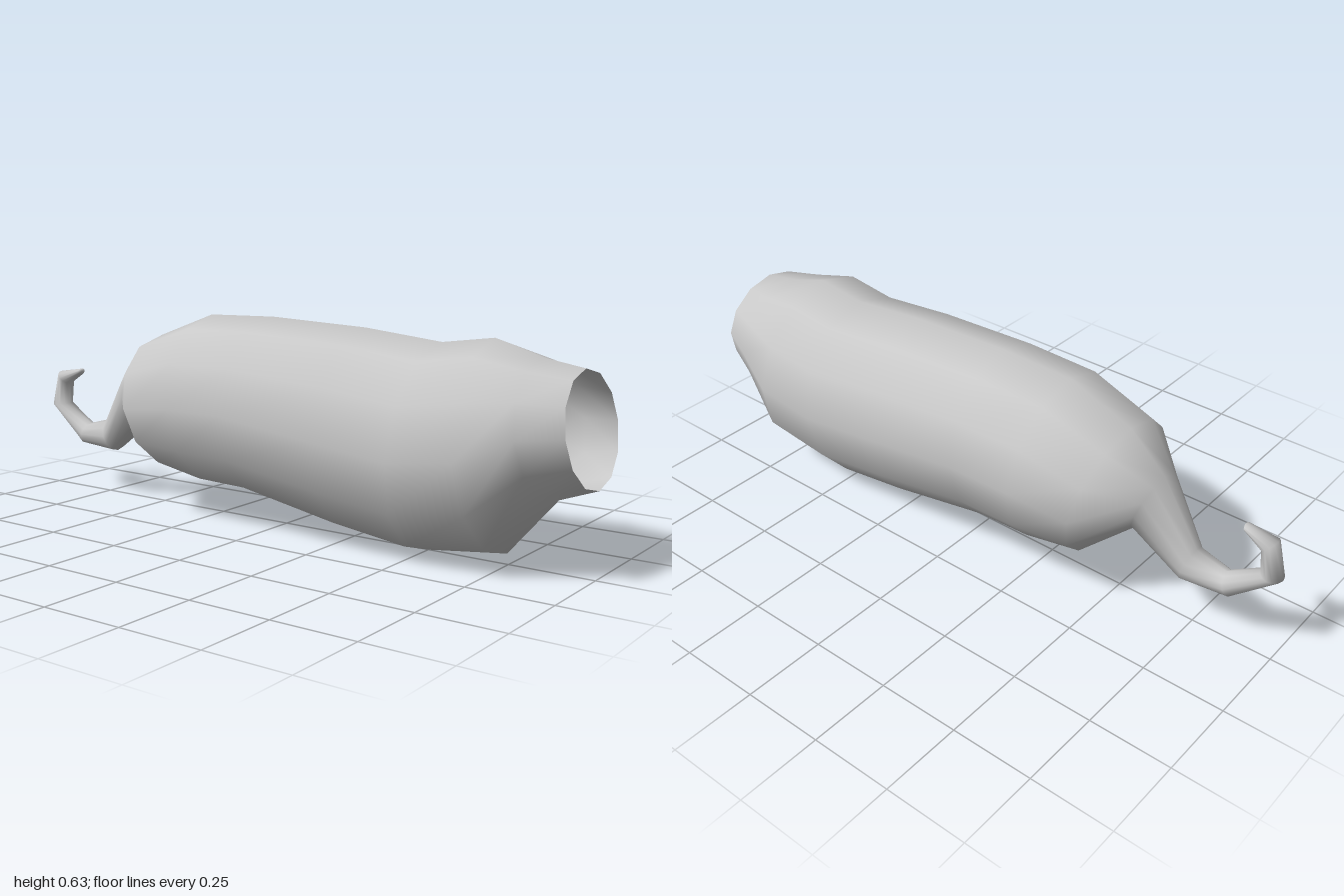
import * as THREE from 'three';

const SIDES = 12;

// Cross-sections from the open mouth to the tail tip:
// [top z, top y, bottom z, bottom y, half width]
const bodyRings = [
  [0.95, 0.555, 1.0, 0.24, 0.17],
  [0.83, 0.575, 0.89, 0.2, 0.22],
  [0.69, 0.617, 0.745, 0.03, 0.27],
  [0.53, 0.595, 0.5, 0.0, 0.27],
  [0.28, 0.62, 0.26, 0.03, 0.265],
  [-0.05, 0.633, -0.07, 0.09, 0.255],
  [-0.29, 0.627, -0.24, 0.095, 0.25],
  [-0.5, 0.55, -0.42, 0.13, 0.23],
  [-0.62, 0.44, -0.56, 0.26, 0.1],
];
const tailRings = [
  [-0.738, 0.25, -0.71, 0.145, 0.055],
  [-0.835, 0.225, -0.86, 0.155, 0.037],
  [-0.936, 0.285, -1.0, 0.28, 0.035],
  [-0.93, 0.355, -0.97, 0.395, 0.032],
  [-0.878, 0.388, -0.873, 0.41, 0.016],
  [-0.875, 0.399, -0.875, 0.399, 0],
];

// Skin elliptical rings into one smooth tube
function loft(rings) {
  const positions = [];
  const indices = [];
  rings.forEach(([tz, ty, bz, by, w], r) => {
    for (let s = 0; s < SIDES; s++) {
      const a = (s / SIDES) * Math.PI * 2;
      const c = Math.cos(a) / 2;
      positions.push(
        w * Math.sin(a),
        (ty + by) / 2 + (ty - by) * c,
        (tz + bz) / 2 + (tz - bz) * c
      );
      if (r === rings.length - 1) continue;
      const p = r * SIDES + s;
      const q = r * SIDES + ((s + 1) % SIDES);
      indices.push(p, q, p + SIDES, q, q + SIDES, p + SIDES);
    }
  });
  const geometry = new THREE.BufferGeometry();
  geometry.setAttribute('position', new THREE.Float32BufferAttribute(positions, 3));
  geometry.setIndex(indices);
  geometry.computeVertexNormals();
  return geometry;
}

export function createModel() {
  const group = new THREE.Group();
  group.name = 'hollowBodyWithTail';

  const grey = new THREE.MeshStandardMaterial({ color: 0xc8c8c8, side: THREE.DoubleSide });
  grey.name = 'light grey';

  // Open-mouthed body flowing without a seam into the hooked tail
  const skin = new THREE.Mesh(loft([...bodyRings, ...tailRings]), grey);
  skin.name = 'bodyAndTail';
  group.add(skin);

  return group;
}
